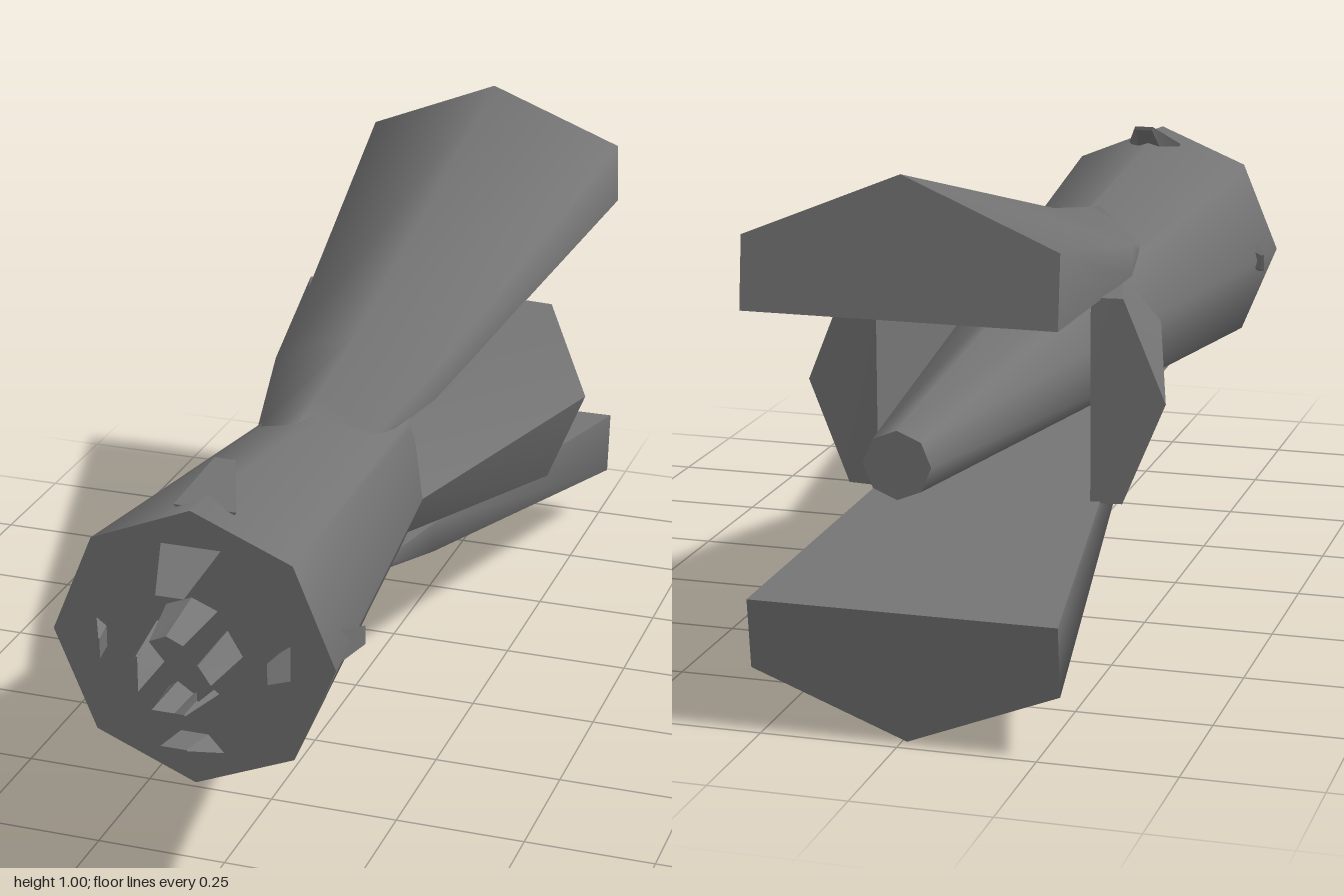
import * as THREE from 'three';
import { toCreasedNormals } from 'three/addons/utils/BufferGeometryUtils.js';

const material = new THREE.MeshStandardMaterial({ color: 0x757575 });

// Skin over sections listed front (+z) to back, each counter-clockwise seen from +z
function loft(sections, crease = 0.7) {
  const pos = [];
  const tri = (...pts) => pts.forEach((p) => pos.push(...p));
  const n = sections[0].length;
  for (let s = 0; s < sections.length - 1; s++) {
    const f = sections[s], b = sections[s + 1];
    for (let i = 0; i < n; i++) {
      const j = (i + 1) % n;
      tri(f[i], b[i], f[j]);
      tri(f[j], b[i], b[j]);
    }
  }
  const front = sections[0], back = sections[sections.length - 1];
  for (let i = 1; i < n - 1; i++) {
    tri(front[0], front[i], front[i + 1]);
    tri(back[0], back[i + 1], back[i]);
  }
  const geometry = new THREE.BufferGeometry();
  geometry.setAttribute('position', new THREE.Float32BufferAttribute(pos, 3));
  return toCreasedNormals(geometry, crease);
}

// House-shaped section: half width, ridge height, base height, roof slope, tilt of the cut in z
function finSection(z, hw, ridge, base, slope = 0.41, tilt = 0) {
  const shoulder = ridge - hw * slope;
  return [
    [-hw, base, z - tilt], [hw, base, z - tilt],
    [hw, shoulder, z - tilt / 2], [0, ridge, z], [-hw, shoulder, z - tilt / 2],
  ];
}

// Four-sided section: outer half width and height, inner half width and height
const plate = (z, outerHw, outer, innerHw, inner) =>
  [[-innerHw, inner, z], [innerHw, inner, z], [outerHw, outer, z], [-outerHw, outer, z]];

// Thin chevron section used for the nose prongs
const chevron = (z, hw, ridge, drop, innerHw, t) => [
  [-innerHw, ridge - drop - t, z], [0, ridge - t, z], [innerHw, ridge - drop - t, z],
  [hw, ridge - drop, z], [0, ridge, z], [-hw, ridge - drop, z],
];

export function createModel() {
  const group = new THREE.Group();
  const craft = new THREE.Group();
  craft.name = 'craft';
  craft.position.y = 0.501;
  group.add(craft);

  const add = (name, geometry, turn = 0) => {
    const mesh = new THREE.Mesh(geometry, material);
    mesh.name = name;
    mesh.rotation.z = turn;
    craft.add(mesh);
    return mesh;
  };

  // Octagonal hull tapering to the tail
  const hull = new THREE.CylinderGeometry(0.263, 0.061, 1.86, 8).rotateX(Math.PI / 2);
  add('hull', hull).position.z = -0.05;

  // Large fins above and below with soft shoulders, smaller crisp ones at the sides
  const largeFin = loft([
    finSection(0.3, 0.1, 0.197, 0.11, 0.62),
    finSection(0.2, 0.112, 0.214, 0.13, 0.64),
    finSection(-0.04, 0.158, 0.259, 0.133),
    finSection(-0.97, 0.279, 0.499, 0.256, 0.41, 0.03),
  ], 1.25);
  const sideFin = loft([
    finSection(0.15, 0.103, 0.179, 0.085, 0.8),
    finSection(-0.475, 0.193, 0.343, 0.205, 0.41, 0.012),
  ]);

  // Claws on the nose face and on the hull, large and small
  const noseClaw = loft([plate(0.98, 0.026, 0.145, 0.024, 0.143), plate(0.87, 0.058, 0.2, 0.026, 0.165)]);
  const smallNoseClaw = loft([plate(0.93, 0.02, 0.156, 0.019, 0.154), plate(0.87, 0.036, 0.185, 0.02, 0.163)]);
  const hullClaw = loft([plate(0.81, 0.058, 0.238, 0.03, 0.19), plate(0.71, 0.02, 0.291, 0.018, 0.283)]);
  const smallHullClaw = loft([plate(0.79, 0.032, 0.238, 0.02, 0.21), plate(0.73, 0.018, 0.266, 0.016, 0.26)]);

  // Prongs ringed around the nose centre, steeper at the sides
  const prong = loft([chevron(1.0, 0.031, 0.081, 0.014, 0.03, 0.003), chevron(0.87, 0.049, 0.101, 0.02, 0.03, 0.014)]);
  const sideProng = loft([chevron(1.0, 0.034, 0.08, 0.023, 0.033, 0.003), chevron(0.87, 0.047, 0.094, 0.028, 0.033, 0.012)]);

  ['upper', 'right', 'lower', 'left'].forEach((side, i) => {
    const turn = i * Math.PI / 2;
    const large = i % 2 === 0;
    const fin = add(side + 'Fin', large ? largeFin : sideFin, turn);
    if (large) fin.position.x = -0.009;
    add(side + 'NoseClaw', large ? noseClaw : smallNoseClaw, turn);
    add(side + 'HullClaw', large ? hullClaw : smallHullClaw, turn);
    add(side + 'NoseProng', large ? prong : sideProng, turn);
  });

  return group;
}
